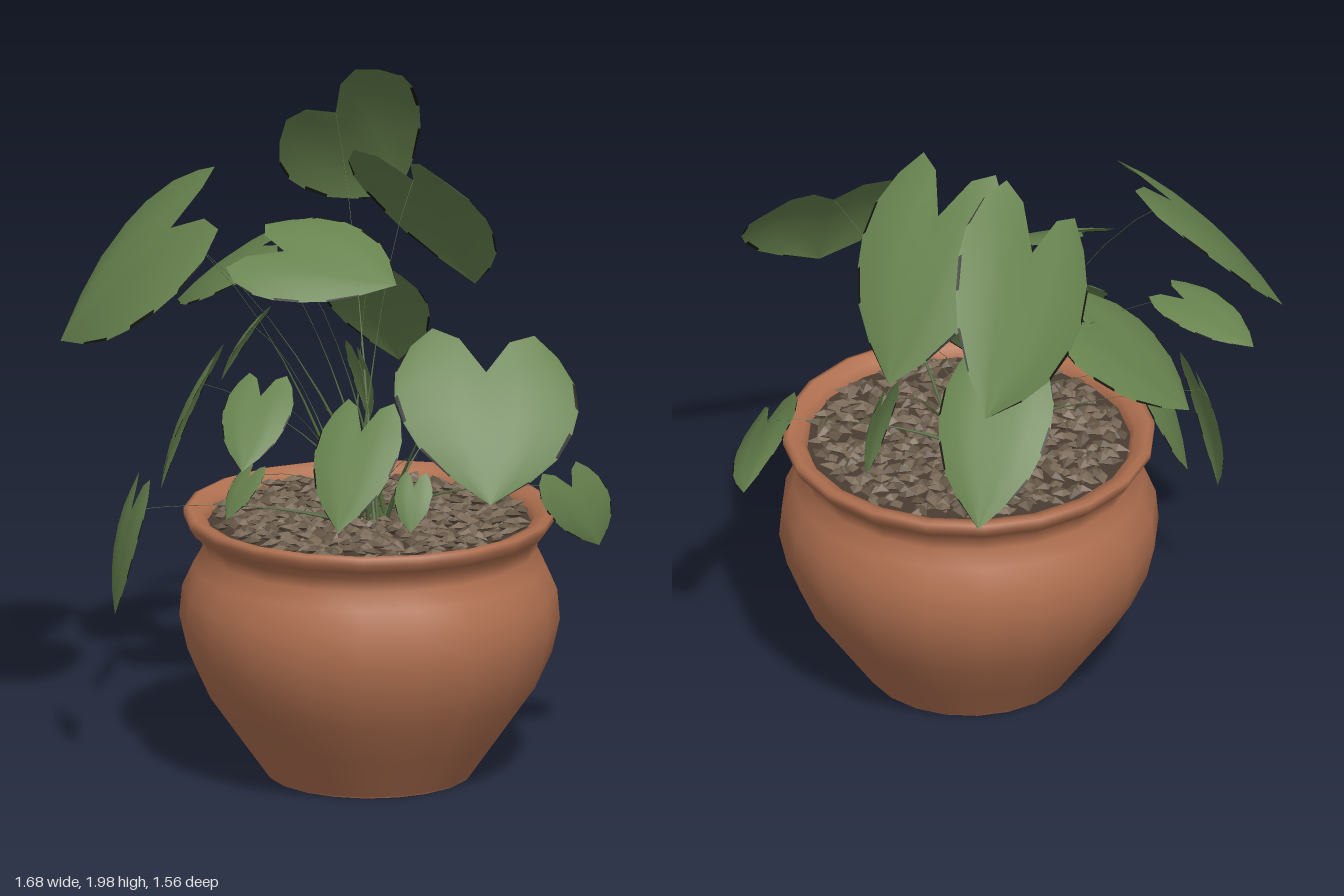
import * as THREE from 'three';
import { mergeGeometries } from 'three/addons/utils/BufferGeometryUtils.js';

const POT_X = 0.11, POT_Z = 0.22;
const UP = new THREE.Vector3(0, 1, 0);
const V = (a) => new THREE.Vector3(...a);

function makeMaterial(name, color, side = THREE.FrontSide, flatShading = false) {
  const m = new THREE.MeshStandardMaterial({ color, side, flatShading });
  m.name = name;
  return m;
}

function seeded(seed) {
  return () => {
    seed = (seed * 16807) % 2147483647;
    return seed / 2147483647;
  };
}

// Heart-shaped blade: rows run from the two lobes to the tip, columns cross the midrib
const WIDTH = [0.9, 1.07, 1.09, 1.0, 0.82, 0.48, 0];
const ACROSS = [-1, -0.965, -0.67, -0.33, 0, 0.33, 0.67, 0.965, 1];
const BACK = [0.13, 0.11, 0.0, 0.06, 0.25, 0.06, 0.0, 0.11, 0.13];

function leafGeometry(middle, side, axis) {
  const normal = side.clone().cross(axis).normalize();
  if (normal.y < 0) normal.negate();
  const half = side.length(), length = axis.length();
  const rows = WIDTH.length, cols = ACROSS.length;
  const positions = [], blade = [], margin = [];
  for (let r = 0; r < rows; r++) {
    const t = r / (rows - 1);
    for (let c = 0; c < cols; c++) {
      const s = ACROSS[c];
      const v = BACK[c] + (1 - BACK[c]) * t;
      const lift = 0.22 * length * v * (1 - v) + half * WIDTH[r] * (0.16 * Math.abs(s) - 0.26 * s * s);
      const p = middle.clone()
        .addScaledVector(side, s * WIDTH[r])
        .addScaledVector(axis, v)
        .addScaledVector(normal, lift);
      positions.push(p.x, p.y, p.z);
      if (r < rows - 1 && c < cols - 1) {
        // the withered edge comes and goes along both sides
        const withered = (c === 0 && r % 2 === 0) || (c === cols - 2 && r % 2 === 1);
        const i = r * cols + c;
        (withered ? margin : blade).push(i, i + cols, i + 1, i + 1, i + cols, i + cols + 1);
      }
    }
  }
  const g = new THREE.BufferGeometry();
  g.setAttribute('position', new THREE.Float32BufferAttribute(positions, 3));
  g.setIndex([...blade, ...margin]);
  g.addGroup(0, blade.length, 0);
  g.addGroup(blade.length, margin.length, 1);
  g.computeVertexNormals();
  const mid = ((cols - 1) / 2) * 3;
  g.userData.notch = new THREE.Vector3(...positions.slice(mid, mid + 3));
  return g;
}

// Leaf tilted freely by the position of its two lobes
function tiltedLeaf(lobeA, lobeB, tip) {
  const a = V(lobeA), b = V(lobeB);
  const middle = a.clone().add(b).multiplyScalar(0.5);
  return leafGeometry(middle, b.sub(a).multiplyScalar(0.5), V(tip).sub(middle));
}

// Leaf that is level from side to side and as wide as its length implies
function levelLeaf(base, tip) {
  const middle = V(base);
  const axis = V(tip).sub(middle);
  const side = axis.clone().cross(UP).setLength(0.28 * axis.length());
  return leafGeometry(middle, side, axis);
}

// Thin arching stalk that tapers toward the leaf
function stemGeometry(from, to) {
  const bend = new THREE.Vector3(
    from.x * 0.55 + to.x * 0.45, from.y * 0.25 + to.y * 0.75 + 0.05, from.z * 0.55 + to.z * 0.45);
  const curve = new THREE.QuadraticBezierCurve3(from, bend, to);
  const steps = 8, sides = 5;
  const g = new THREE.TubeGeometry(curve, steps, 0.008, sides, false);
  const p = g.attributes.position, v = new THREE.Vector3();
  for (let i = 0; i < p.count; i++) {
    const t = Math.floor(i / (sides + 1)) / steps;
    const centre = curve.getPointAt(t);
    v.fromBufferAttribute(p, i).sub(centre).multiplyScalar(Math.max(0.1, 1 - 1.6 * t)).add(centre);
    p.setXYZ(i, v.x, v.y, v.z);
  }
  return g;
}

// Lobe, lobe, tip
const TILTED_LEAVES = {
  rightFrontLeaf: [[0.32, 1.46, 0.54], [0.77, 1.41, 0.33], [0.68, 1.0, 0.74]],
  leftLargeLeaf: [[-0.25, 1.63, 0.52], [-0.46, 1.79, 0.0], [-0.8, 1.26, 0.37]],
  backLeftLeaf: [[-0.25, 1.53, -0.38], [-0.27, 1.46, 0.07], [-0.66, 1.24, -0.24]],
  topLeaf: [[-0.06, 2.03, -0.31], [-0.37, 1.78, -0.18], [-0.17, 1.46, -0.78]],
  centreTopLeaf: [[-0.1, 1.82, -0.03], [0.29, 1.82, 0.1], [0.2, 1.32, -0.43]],
  centreLeaf: [[-0.33, 1.48, 0.35], [-0.25, 1.62, 0.02], [0.15, 1.45, 0.1]],
  leftDroopingLeaf: [[-0.53, 0.92, 0.47], [-0.42, 0.93, 0.61], [-0.56, 0.5, 0.56]],
  rightDroopingLeaf: [[0.59, 0.92, 0.15], [0.69, 0.94, -0.05], [0.72, 0.67, -0.07]],
  smallBackLeaf: [[0.27, 1.18, -0.23], [0.26, 1.08, 0.0], [0.33, 0.83, -0.15]],
};

// Base, tip
const LEVEL_LEAVES = {
  backLowLeaf: [[-0.12, 1.4, -0.27], [-0.12, 1.0, -0.65]],
  farLeftLeaf: [[-0.52, 1.51, -0.02], [-0.83, 1.42, -0.14]],
  frontLowLeaf: [[0.145, 1.15, 0.3], [0.14, 0.82, 0.57]],
  frontLeftLeaf: [[-0.14, 1.23, 0.4], [-0.13, 1.0, 0.65]],
  leftRimLeaf: [[-0.39, 1.21, 0.14], [-0.56, 0.78, 0.17]],
  smallFrontRightLeaf: [[0.325, 0.98, 0.41], [0.34, 0.82, 0.5]],
  smallFrontLeftLeaf: [[-0.125, 0.99, 0.52], [-0.19, 0.84, 0.62]],
  smallCentreLeaf: [[0.01, 1.26, 0.1], [0.05, 1.02, 0.06]],
  innerLeftLeaf: [[-0.24, 1.35, 0.14], [-0.38, 1.12, 0.15]],
};

export function createModel() {
  const model = new THREE.Group();
  model.name = 'pottedPlant';
  const terracotta = makeMaterial('terracotta', 0xb07050);
  const leafGreen = makeMaterial('leafGreen', 0x67824e, THREE.DoubleSide);
  const witheredEdge = makeMaterial('witheredEdge', 0x16150f, THREE.DoubleSide);
  const stemGreen = makeMaterial('stemGreen', 0x52683c);
  const soilBrown = makeMaterial('soilBrown', 0x4a3d32);
  const gravelBrown = makeMaterial('gravelBrown', 0x786857, THREE.FrontSide, true);
  const gravelDark = makeMaterial('gravelDark', 0x625444, THREE.FrontSide, true);

  const add = (name, geometry, material, parent = model) => {
    const mesh = new THREE.Mesh(geometry, material);
    mesh.name = name;
    parent.add(mesh);
    return mesh;
  };

  // Pot: outer wall, rolled rim and inner wall
  const wall = [
    [0.305, 0.005], [0.39, 0.125], [0.485, 0.26], [0.535, 0.37], [0.558, 0.47], [0.55, 0.56],
    [0.518, 0.63], [0.49, 0.68], [0.495, 0.72], [0.53, 0.75], [0.546, 0.775], [0.546, 0.795],
    [0.53, 0.8], [0.49, 0.785], [0.472, 0.75], [0.47, 0.7],
  ].map(([x, y]) => new THREE.Vector2(x, y));
  add('pot', new THREE.LatheGeometry(wall, 20), terracotta).position.set(POT_X, 0, POT_Z);
  const base = add('potBase', new THREE.CylinderGeometry(0.305, 0.3, 0.01, 20), terracotta);
  base.position.set(POT_X, 0.005, POT_Z);

  // Soil with a bed of elongated stones
  const soil = add('soil', new THREE.CircleGeometry(0.475, 20).rotateX(-Math.PI / 2), soilBrown);
  soil.position.set(POT_X, 0.76, POT_Z);
  const random = seeded(71);
  const stones = [[], []];
  const count = 480;
  for (let i = 0; i < count; i++) {
    const radius = 0.45 * Math.sqrt((i + 0.5) / count);
    const angle = i * 2.39996 + random() * 0.2;
    const stone = new THREE.OctahedronGeometry(1, 0);
    stone.scale(0.018 + random() * 0.008, 0.013, 0.03 + random() * 0.013);
    stone.rotateX((random() - 0.5) * 0.6).rotateY(random() * Math.PI);
    stone.translate(POT_X + radius * Math.cos(angle), 0.768 + random() * 0.016, POT_Z + radius * Math.sin(angle));
    stones[i % 2].push(stone);
  }
  add('gravel', mergeGeometries(stones[0]), gravelBrown);
  add('darkGravel', mergeGeometries(stones[1]), gravelDark);

  // Leaves, each with its own stalk rising from the middle of the pot
  const foliage = new THREE.Group();
  foliage.name = 'foliage';
  model.add(foliage);
  const addLeaf = (name, blade, i) => {
    add(name, blade, [leafGreen, witheredEdge], foliage);
    const root = new THREE.Vector3(POT_X + 0.05 * Math.cos(i * 2.4), 0.76, POT_Z + 0.05 * Math.sin(i * 2.4));
    add(name + 'Stem', stemGeometry(root, blade.userData.notch), stemGreen, foliage);
  };
  Object.entries(TILTED_LEAVES).forEach(([name, points], i) => addLeaf(name, tiltedLeaf(...points), i));
  Object.entries(LEVEL_LEAVES).forEach(([name, points], i) => addLeaf(name, levelLeaf(...points), i + 9));

  // Young unopened shoots
  for (let i = 0; i < 4; i++) {
    const angle = i * 1.6 + 0.3;
    const root = new THREE.Vector3(POT_X, 0.76, POT_Z);
    const top = new THREE.Vector3(
      POT_X + 0.17 * Math.cos(angle), 0.98 + 0.05 * i, POT_Z + 0.13 * Math.sin(angle));
    add('shoot', stemGeometry(root, top), stemGreen, foliage);
  }
  return model;
}
